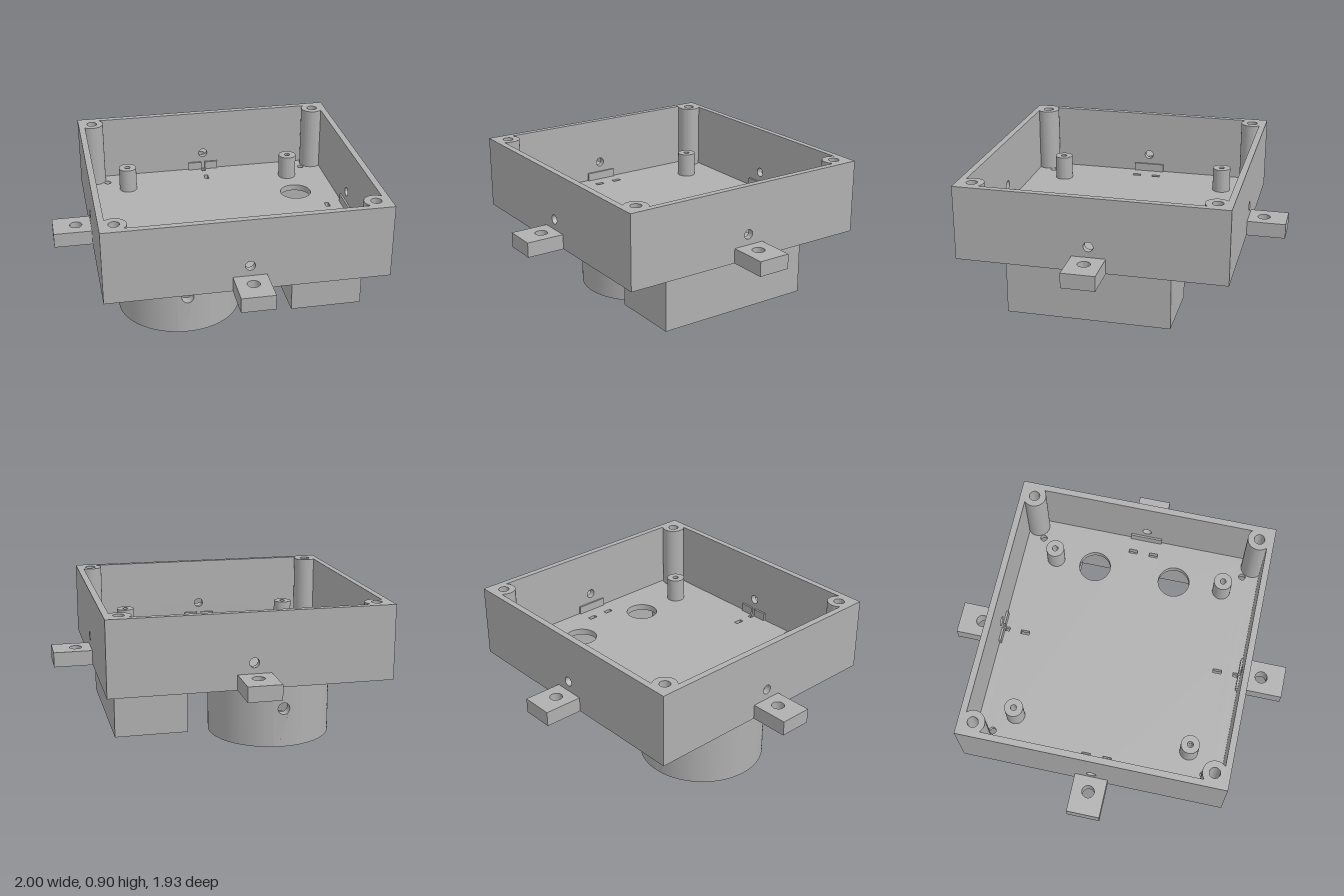
import * as THREE from 'three';
import { toCreasedNormals } from 'three/addons/utils/BufferGeometryUtils.js';

const grey = new THREE.MeshStandardMaterial({ color: 0xb0b0b0 });
grey.name = 'grey plastic';

// Main levels and box extents
const BASE = 0.485, FLOOR = 0.522, TOP = 0.905, TAB_TOP = 0.57;
const X = 0.782, ZB = -0.748, ZF = 0.745, WALL = 0.036;

function rect(x0, x1, y0, y1, Kind = THREE.Shape) {
  return new Kind([[x0, y0], [x1, y0], [x1, y1], [x0, y1]].map(p => new THREE.Vector2(...p)));
}
const rectHole = (x, y, w, h) => rect(x - w / 2, x + w / 2, y - h / 2, y + h / 2, THREE.Path);

function disc(x, y, r, Kind = THREE.Path) {
  const p = new Kind();
  p.absarc(x, y, r, 0, Math.PI * 2, false);
  return p;
}

function hexHole(x, y, r) {
  return new THREE.Path(Array.from({ length: 6 }, (_, i) => new THREE.Vector2(
    x + r * Math.cos(i * Math.PI / 3), y + r * Math.sin(i * Math.PI / 3))));
}

function extrude(shape, holes, depth) {
  shape.holes.push(...holes);
  return new THREE.ExtrudeGeometry(shape, { depth, bevelEnabled: false, curveSegments: 24 });
}

// Plan outline (x, z) raised from y0 to y1
function slab(shape, holes, y0, y1) {
  return extrude(shape, holes, y1 - y0).rotateX(Math.PI / 2).translate(0, y1, 0);
}

export function createModel() {
  const model = new THREE.Group();
  model.name = 'sensorHousing';
  const add = (name, geometry) => {
    const mesh = new THREE.Mesh(toCreasedNormals(geometry, 0.6), grey);
    mesh.name = name;
    model.add(mesh);
  };

  const posts = [], standoffs = [];
  for (const sx of [-1, 1]) {
    posts.push([sx * 0.7, -0.665], [sx * 0.7, 0.66]);
    standoffs.push([sx * 0.507, -0.51], [sx * 0.507, 0.505]);
  }

  // Floor with nut pockets, duct openings and tie slots
  const floorHoles = [
    ...posts.map(([x, z]) => hexHole(x, z, 0.047)),
    ...posts.map(([x, z]) => disc(Math.sign(x) * 0.625, z - Math.sign(z) * 0.048, 0.02)),
    disc(0.505, -0.27, 0.093), disc(0.505, 0.215, 0.093),
    rectHole(0, -0.58, 0.024, 0.05), rectHole(0, 0.575, 0.024, 0.05),
    rectHole(0, -0.686, 0.024, 0.026), rectHole(0, 0.681, 0.024, 0.026),
  ];
  for (const x of [-0.652, 0.652])
    for (const z of [-0.064, 0.06]) floorHoles.push(rectHole(x, z, 0.025, 0.05));
  add('floor', slab(rect(-X, X, ZB, ZF), floorHoles, BASE, FLOOR));

  // Walls, each with a small round hole
  const wallHole = () => [disc(0, 0.63, 0.027)];
  add('frontWall', extrude(rect(-X, X, FLOOR, TOP), wallHole(), WALL).translate(0, 0, ZF - WALL));
  add('backWall', extrude(rect(-X, X, FLOOR, TOP), wallHole(), WALL).translate(0, 0, ZB));
  for (const [name, x] of [['leftWall', X - WALL], ['rightWall', -X]])
    add(name, extrude(rect(-ZF + WALL, -ZB - WALL, FLOOR, TOP), wallHole(), WALL)
      .rotateY(Math.PI / 2).translate(x, 0, 0));

  // Corner screw posts and board standoffs
  for (const [x, z] of posts)
    add('cornerPost', slab(disc(x, z, 0.067, THREE.Shape), [disc(x, z, 0.03)], FLOOR, TOP));
  for (const [x, z] of standoffs)
    add('standoff', slab(disc(x, z, 0.053, THREE.Shape), [disc(x, z, 0.017)], FLOOR, 0.665));

  // Mounting tabs, with the lip each one leaves inside the wall
  for (const s of [-1, 1]) {
    const edge = s > 0 ? ZF : -ZB, end = s > 0 ? 0.962 : 0.967, hole = s > 0 ? 0.83 : 0.835;
    const span = (a, b) => [Math.min(s * a, s * b), Math.max(s * a, s * b)];
    add('sideTab', slab(rect(...span(X, 1), -0.095, 0.092), [disc(s * 0.868, 0, 0.035)], BASE, TAB_TOP));
    add('endTab', slab(rect(-0.095, 0.092, ...span(edge, end)), [disc(0, s * hole, 0.035)], BASE, TAB_TOP));
    add('sideTabLip', slab(rect(...span(0.735, X - WALL), -0.095, 0.092), [], FLOOR, TAB_TOP));
    for (const [a, b] of [[-0.095, -0.012], [0.012, 0.092]])
      add('endTabLip', slab(rect(a, b, ...span(edge - WALL - 0.012, edge - WALL)), [], FLOOR, TAB_TOP));
  }

  // Rectangular duct, open at the bottom
  add('duct', slab(rect(0.3, 0.708, -0.432, 0.485), [rect(0.335, 0.673, -0.397, 0.45, THREE.Path)], 0.16, BASE));

  // Round collar: two curved halves joined by front and back strips with a cross bore
  const cx = -0.278, R = 0.363, r = 0.307, w = 0.06;
  const outer = Math.acos(w / R), inner = Math.acos(w / r);
  for (const turn of [0, Math.PI]) {
    const half = new THREE.Shape();
    half.absarc(0, 0, R, -outer, outer, false);
    half.absarc(0, 0, r, inner, -inner, true);
    add('collarHalf', slab(half, [], 0, BASE).rotateY(turn).translate(cx, 0, 0));

    const outline = [];
    for (let i = -4; i <= 4; i++) outline.push(new THREE.Vector2(i * w / 4, 0));
    for (let i = 4; i >= -4; i--) outline.push(new THREE.Vector2(i * w / 4, BASE));
    const strip = extrude(new THREE.Shape(outline), [disc(0, 0.23, 0.035)], 1);
    const p = strip.attributes.position;
    for (let i = 0; i < p.count; i++) {
      const radius = p.getZ(i) > 0.5 ? R : r;
      p.setZ(i, Math.sqrt(radius * radius - p.getX(i) ** 2));
    }
    add('collarStrip', strip.rotateY(turn).translate(cx, 0, 0));
  }
  return model;
}
